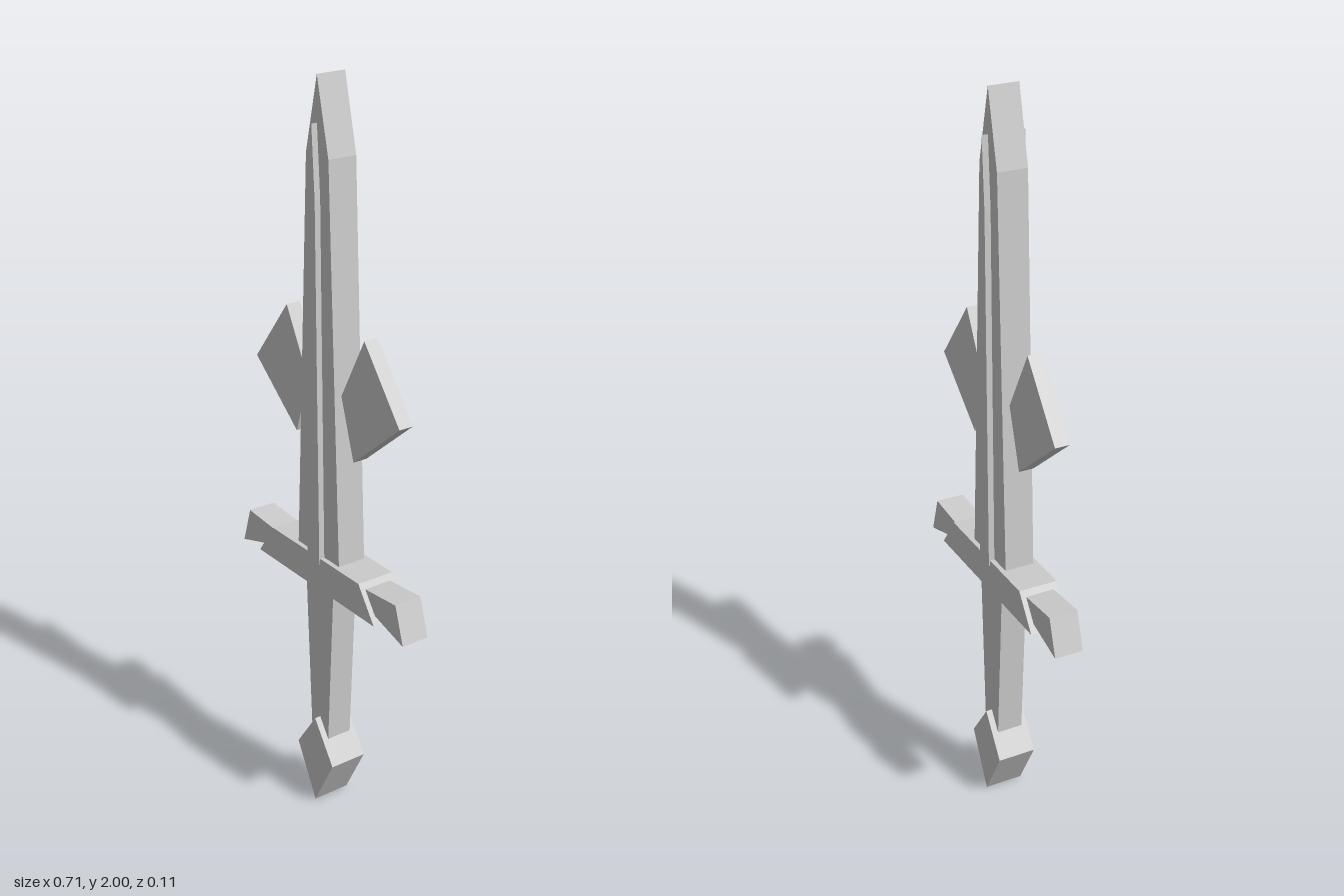
import * as THREE from 'three';

const material = new THREE.MeshStandardMaterial({ color: 0xcccccc, flatShading: true });

// Flat slab: a counter-clockwise outline in x/y, extruded evenly about z = 0
function slab(name, outline, halfDepth) {
  const shape = new THREE.Shape(outline.map(([x, y]) => new THREE.Vector2(x, y)));
  const geometry = new THREE.ExtrudeGeometry(shape, { depth: 2 * halfDepth, bevelEnabled: false });
  geometry.translate(0, 0, -halfDepth);
  const mesh = new THREE.Mesh(geometry, material);
  mesh.name = name;
  return mesh;
}

// Completes an outline whose right half runs from bottom to top
function symmetric(right) {
  const left = right.filter(([x]) => x > 0).map(([x, y]) => [-x, y]).reverse();
  return [...right, ...left];
}

// Same outline on the other side, with the corner order restored
const mirrored = (outline) => outline.map(([x, y]) => [-x, y]).reverse();

export function createModel() {
  const group = new THREE.Group();
  group.name = 'dagger';

  // Blade and the raised ridge along its middle
  group.add(slab('blade', symmetric([[0.09, 0.755], [0.045, 1.81], [0, 2]], 0.04), 0.04));
  group.add(slab('bladeRidge', symmetric([[0.026, 0.748], [0.012, 1.71], [0, 1.888]]), 0.056));

  // Crossguard, grip and pommel
  group.add(slab('crossguard', symmetric([[0.255, 0.673], [0.19, 0.765]]), 0.053));
  group.add(slab('grip', symmetric([[0.037, 0.21], [0.06, 0.68]]), 0.036));
  group.add(slab('pommel', symmetric([[0, 0], [0.08, 0.15], [0, 0.265]]), 0.053));

  // Guard tips and blade wings, one on each side
  const guardTip = [[0.2, 0.705], [0.355, 0.658], [0.323, 0.76], [0.2, 0.75]];
  const wing = [[0.122, 1.065], [0.302, 1.216], [0.162, 1.396], [0.071, 1.225]];
  group.add(slab('leftGuardTip', guardTip, 0.039), slab('rightGuardTip', mirrored(guardTip), 0.039));
  group.add(slab('leftWing', wing, 0.02), slab('rightWing', mirrored(wing), 0.02));

  return group;
}
